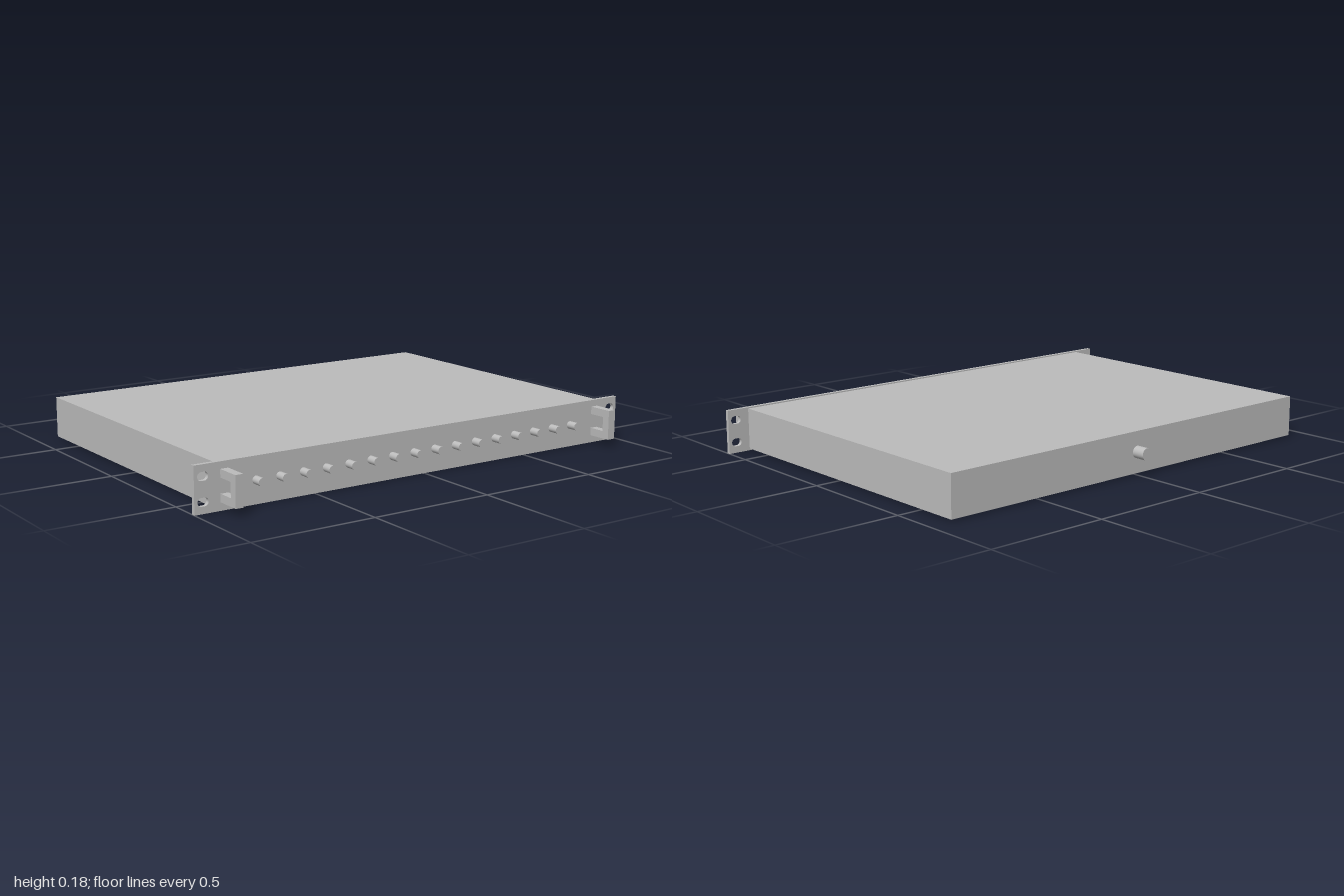
import * as THREE from 'three';

export function createModel() {
  const model = new THREE.Group();
  model.name = 'rackUnit';
  const metal = new THREE.MeshStandardMaterial({ color: 0xbcbcbc });
  metal.name = 'grey metal';

  const add = (name, geometry, x, y, z) => {
    const mesh = new THREE.Mesh(geometry, metal);
    mesh.name = name;
    mesh.position.set(x, y, z);
    model.add(mesh);
    return mesh;
  };

  // Closed polygon from [x, y] pairs
  const polygon = (points) => new THREE.Shape(points.map(([x, y]) => new THREE.Vector2(x, y)));

  // Chassis box
  add('chassis', new THREE.BoxGeometry(1.814, 0.166, 1.297), 0, 0.09, -0.0325);

  // Front panel with oblong mounting holes in its ears
  const panel = polygon([[-1, 0], [1, 0], [1, 0.178], [-1, 0.178]]);
  const r = 0.016, half = 0.006;
  for (const side of [-1, 1]) {
    for (const y of [0.043, 0.135]) {
      const hole = new THREE.Path();
      const x = side * 0.965;
      hole.absarc(x + half, y, r, -Math.PI / 2, Math.PI / 2, false);
      hole.absarc(x - half, y, r, Math.PI / 2, Math.PI * 1.5, false);
      hole.closePath();
      panel.holes.push(hole);
    }
  }
  const panelGeometry = new THREE.ExtrudeGeometry(panel, {
    depth: 0.016, bevelEnabled: false, curveSegments: 12,
  });
  add('frontPanel', panelGeometry, 0, 0, 0.616);

  // Square U-shaped handles: profile in z and y, extruded across x
  const handleShape = polygon([
    [0.63, 0.031], [0.733, 0.031], [0.733, 0.151], [0.63, 0.151],
    [0.63, 0.12], [0.701, 0.12], [0.701, 0.062], [0.63, 0.062],
  ]);
  const handleWidth = 0.032;
  const handleGeometry = new THREE.ExtrudeGeometry(handleShape, {
    depth: handleWidth, bevelEnabled: false,
  });
  handleGeometry.rotateY(-Math.PI / 2);
  handleGeometry.translate(handleWidth / 2, 0, 0);
  add('leftHandle', handleGeometry, 0.879, 0, 0);
  add('rightHandle', handleGeometry, -0.879, 0, 0);

  // Row of sixteen front connectors
  const connector = new THREE.CylinderGeometry(0.0155, 0.0155, 0.045, 24).rotateX(Math.PI / 2);
  for (let i = 0; i < 16; i++) {
    add('frontConnector' + (i + 1), connector, -0.75 + i * 0.0997, 0.09, 0.6525);
  }

  // Single larger connector on the back
  const rear = new THREE.CylinderGeometry(0.024, 0.024, 0.054, 32).rotateX(Math.PI / 2);
  add('rearConnector', rear, 0, 0.091, -0.706);

  return model;
}
